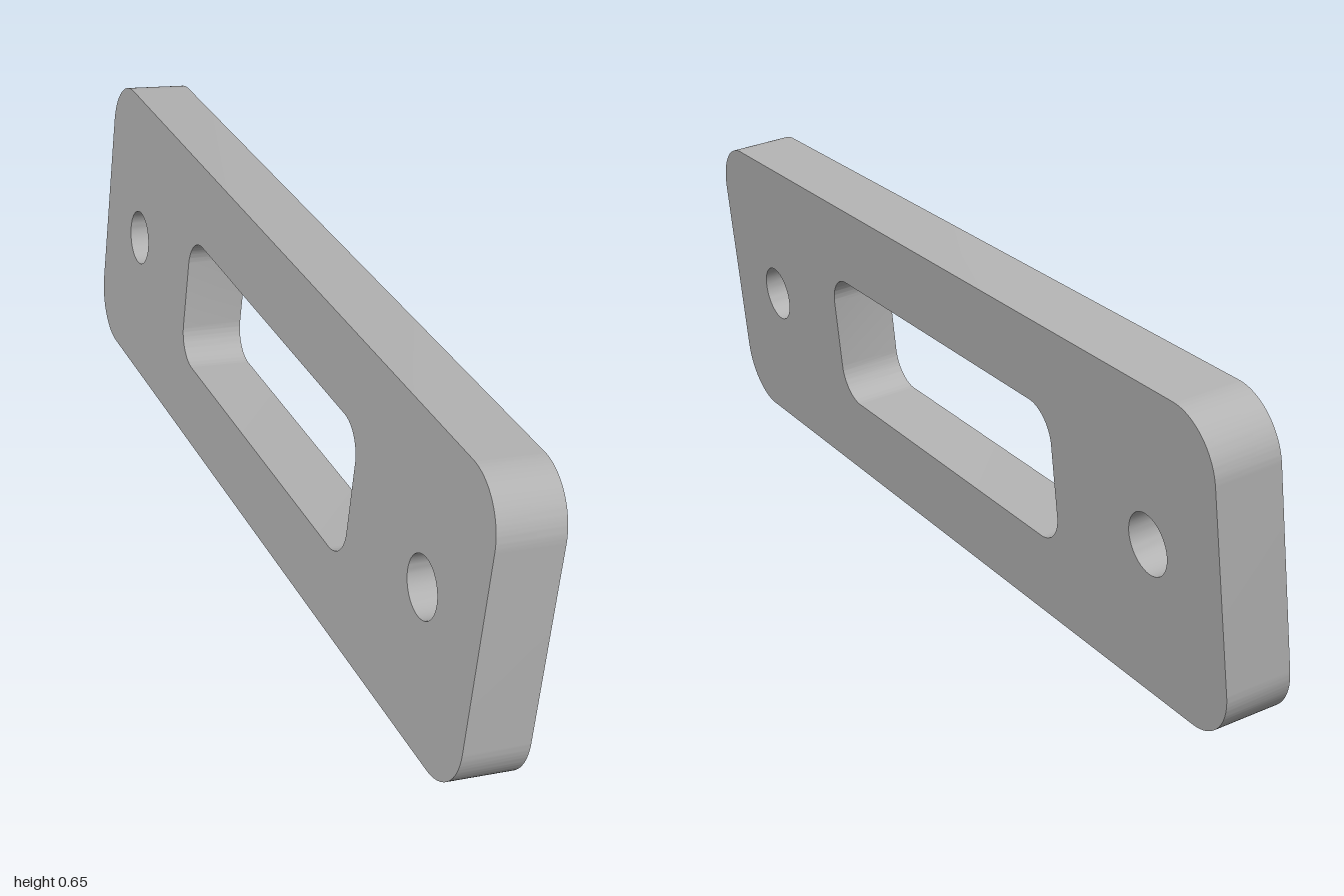
import * as THREE from 'three';
import { toCreasedNormals } from 'three/addons/utils/BufferGeometryUtils.js';

const LENGTH = 2, HEIGHT = 0.636, THICKNESS = 0.135, LEAN = 0.1056;

// Rounded rectangle centred on the origin
function roundedRect(path, w, h, r) {
  const x = w / 2 - r, y = h / 2 - r;
  path.absarc(x, y, r, 0, Math.PI / 2);
  path.absarc(-x, y, r, Math.PI / 2, Math.PI);
  path.absarc(-x, -y, r, Math.PI, Math.PI * 1.5);
  path.absarc(x, -y, r, Math.PI * 1.5, Math.PI * 2);
  path.closePath();
  return path;
}

export function createModel() {
  const grey = new THREE.MeshStandardMaterial({ color: 0xb4b4b4 });
  grey.name = 'plainGrey';

  // Plate outline with a central window and two screw holes
  const outline = roundedRect(new THREE.Shape(), LENGTH, HEIGHT, 0.115);
  outline.holes.push(roundedRect(new THREE.Path(), 0.914, 0.29, 0.07));
  for (const side of [-1, 1]) {
    outline.holes.push(new THREE.Path().absarc(side * 0.775, 0, 0.061, 0, Math.PI * 2));
  }

  const extruded = new THREE.ExtrudeGeometry(outline, {
    depth: THICKNESS, bevelEnabled: false, curveSegments: 20,
  });
  extruded.translate(0, 0, -THICKNESS / 2);
  extruded.rotateY(Math.PI / 2);

  // Lean the plate towards +x and stand its lower edge on the ground
  extruded.rotateZ(-LEAN);
  extruded.computeBoundingBox();
  extruded.translate(0, -extruded.boundingBox.min.y, 0);

  const plate = new THREE.Mesh(toCreasedNormals(extruded, 0.6), grey);
  plate.name = 'mountingPlate';

  const model = new THREE.Group();
  model.name = 'leaningPlate';
  model.add(plate);
  return model;
}
